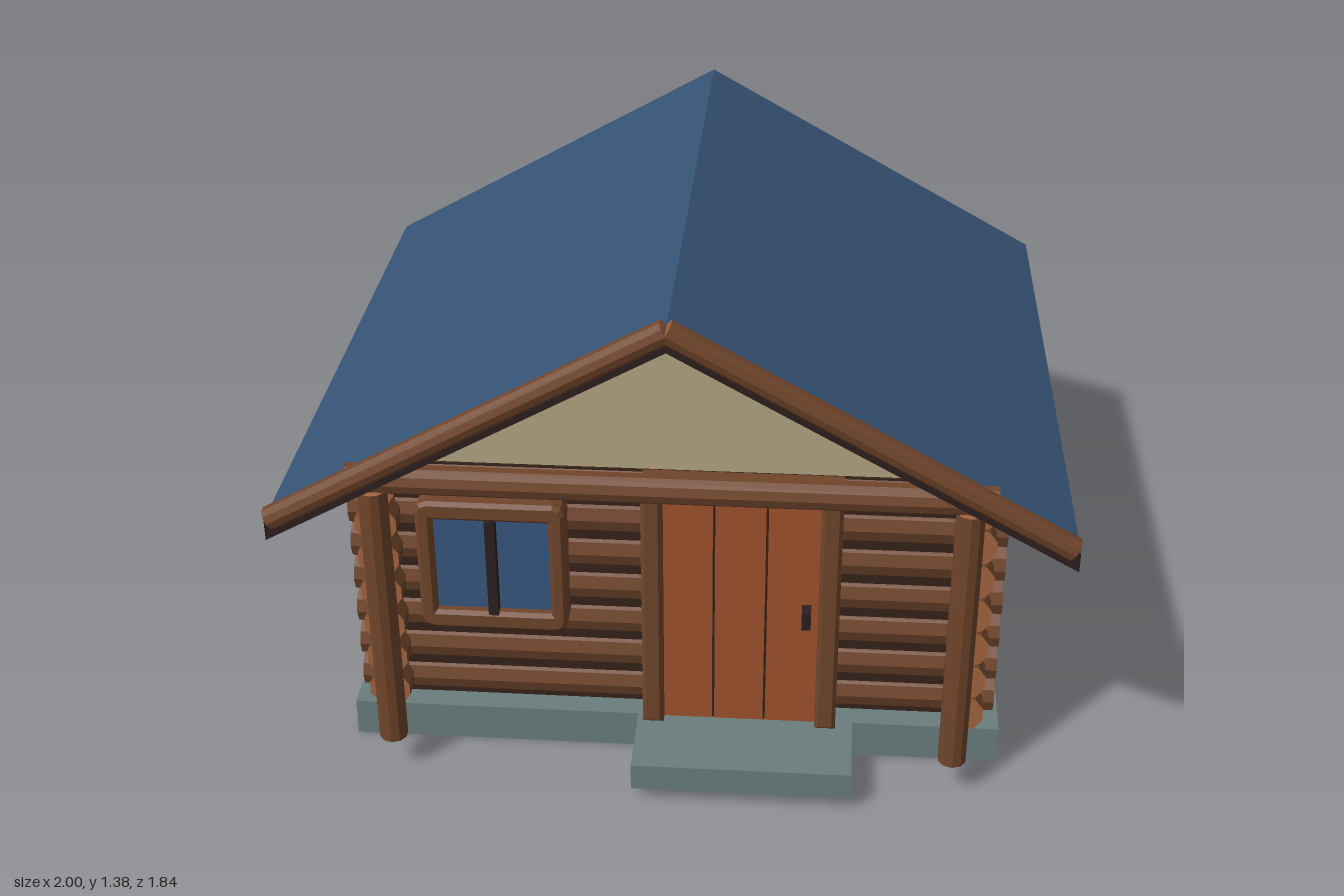
import * as THREE from 'three';

const mat = (name, color) => Object.assign(new THREE.MeshStandardMaterial({ color, flatShading: true }), { name });

export function createModel() {
  const root = new THREE.Group();
  root.name = 'logCabin';
  const bark = mat('bark', 0x70452b);
  const cutWood = mat('cutWood', 0xa3653f);
  const darkWood = mat('darkWood', 0x35221a);
  const doorWood = mat('doorWood', 0xa0522d);
  const roofBlue = mat('roofBlue', 0x365375);
  const trim = mat('trimBlack', 0x2b1f1e);
  const plaster = mat('plaster', 0xb5a682);
  const stone = mat('stone', 0x6b7d7e);
  const glass = mat('glass', 0x385880);

  const add = (parent, name, geometry, material, x = 0, y = 0, z = 0) => {
    const m = new THREE.Mesh(geometry, material);
    m.name = name;
    m.position.set(x, y, z);
    parent.add(m);
    return m;
  };
  // Box given by its limits on each axis
  const box = (parent, name, material, x0, x1, y0, y1, z0, z1) =>
    add(parent, name, new THREE.BoxGeometry(x1 - x0, y1 - y0, z1 - z0), material,
      (x0 + x1) / 2, (y0 + y1) / 2, (z0 + z1) / 2);
  // Faceted log between two points, with paler cut ends
  const log = (parent, name, a, b, r) => {
    const from = new THREE.Vector3(...a), to = new THREE.Vector3(...b);
    const dir = to.clone().sub(from);
    const m = add(parent, name, new THREE.CylinderGeometry(r, r, dir.length(), 10), [bark, cutWood, cutWood]);
    m.position.copy(from).add(to).multiplyScalar(0.5);
    m.quaternion.setFromUnitVectors(new THREE.Vector3(0, 1, 0), dir.normalize());
    return m;
  };
  const polygon = pts => new THREE.Shape(pts.map(p => new THREE.Vector2(...p)));
  const extrude = (shape, depth, bevel = 0) => new THREE.ExtrudeGeometry(shape, {
    depth: depth - bevel, bevelEnabled: bevel > 0, bevelSize: bevel, bevelThickness: bevel,
    bevelOffset: -bevel, bevelSegments: 1, curveSegments: 3,
  });

  // Foundation and step
  box(root, 'foundation', stone, -0.865, 0.865, 0, 0.105, -0.85, 0.69);
  box(root, 'doorStep', stone, -0.095, 0.475, 0.04, 0.115, 0.66, 0.92);

  // Log walls with dark filling between the courses
  const front = 0.59, back = -0.75, side = 0.765;
  const walls = new THREE.Group();
  walls.name = 'walls';
  root.add(walls);
  for (let i = 0; i < 7; i++) {
    const y = 0.159 + i * 0.1045;
    for (const z of [front, back]) log(walls, 'crossLog', [-0.85, y, z], [0.85, y, z], 0.056);
    for (const x of [-side, side]) log(walls, 'sideLog', [x, y, -0.86], [x, y, 0.7], 0.056);
  }
  for (const z of [front, back]) box(walls, 'crossFilling', darkWood, -side, side, 0.105, 0.83, z - 0.037, z + 0.037);
  for (const x of [-side, side]) box(walls, 'sideFilling', darkWood, x - 0.037, x + 0.037, 0.105, 0.83, back, front);

  // Gables
  const gable = polygon([[-0.74, 0.83], [0.74, 0.83], [0, 1.298]]);
  for (const z of [front, back]) add(root, 'gable', extrude(gable, 0.06), plaster, 0, 0, z - 0.03);

  // Roof slab with blue covering
  const chevron = (top, t) => polygon([[0, top], [-1, top - 0.56], [-1, top - 0.56 - t],
    [0, top - t], [1, top - 0.56 - t], [1, top - 0.56]]);
  add(root, 'roofSlab', extrude(chevron(1.346, 0.053), 1.79), trim, 0, 0, -0.92);
  add(root, 'roofCovering', extrude(chevron(1.35, 0.005), 1.788), roofBlue, 0, 0, -0.919);

  // Porch: rafters, beam and posts
  for (const s of [-1, 1]) {
    log(root, 'rafterLog', [0, 1.35, 0.87], [s * 0.985, 0.798, 0.87], 0.031);
    log(root, 'porchPost', [s * 0.735, 0.1, 0.815], [s * 0.735, 0.86, 0.815], 0.037);
  }
  log(root, 'porchBeam', [-0.8, 0.885, 0.805], [0.8, 0.885, 0.805], 0.038);

  // Door with frame, plank grooves and handle
  const door = new THREE.Group();
  door.name = 'door';
  root.add(door);
  const doorFrame = polygon([[-0.08, 0.115], [-0.025, 0.115], [-0.025, 0.795], [0.375, 0.795],
    [0.375, 0.115], [0.43, 0.115], [0.43, 0.84], [-0.08, 0.84]]);
  add(door, 'doorFrame', extrude(doorFrame, 0.1, 0.01), bark, 0, 0, 0.64);
  box(door, 'doorPanel', doorWood, -0.035, 0.385, 0.115, 0.805, 0.64, 0.705);
  for (const x of [0.105, 0.24]) box(door, 'plankGroove', darkWood, x - 0.003, x + 0.003, 0.12, 0.795, 0.703, 0.707);
  box(door, 'doorHandle', trim, 0.333, 0.357, 0.44, 0.49, 0.7, 0.747);

  // Windows, built facing +z around their centre on the wall line
  const makeWindow = name => {
    const g = new THREE.Group();
    g.name = name;
    const h = 0.193, c = 0.03, w = 0.15;
    const frame = polygon([[-h + c, -h], [h - c, -h], [h - c * 0.3, -h + c * 0.3], [h, -h + c],
      [h, h - c], [h - c * 0.3, h - c * 0.3], [h - c, h], [-h + c, h],
      [-h + c * 0.3, h - c * 0.3], [-h, h - c], [-h, -h + c], [-h + c * 0.3, -h + c * 0.3]]);
    frame.holes.push(new THREE.Path([[-w, -w], [-w, w], [w, w], [w, -w]]
      .map(p => new THREE.Vector2(p[0], p[1] * 0.93))));
    add(g, 'windowFrame', extrude(frame, 0.07, 0.01), bark, 0, 0, 0.045);
    box(g, 'windowPane', glass, -0.165, 0.165, -0.155, 0.155, 0.04, 0.088);
    box(g, 'windowMullion', trim, -0.013, 0.013, -0.143, 0.143, 0.08, 0.118);
    root.add(g);
    return g;
  };
  makeWindow('frontWindow').position.set(-0.47, 0.562, front);
  const sideWindow = makeWindow('sideWindow');
  sideWindow.position.set(side, 0.56, -0.19);
  sideWindow.rotation.y = Math.PI / 2;

  return root;
}
